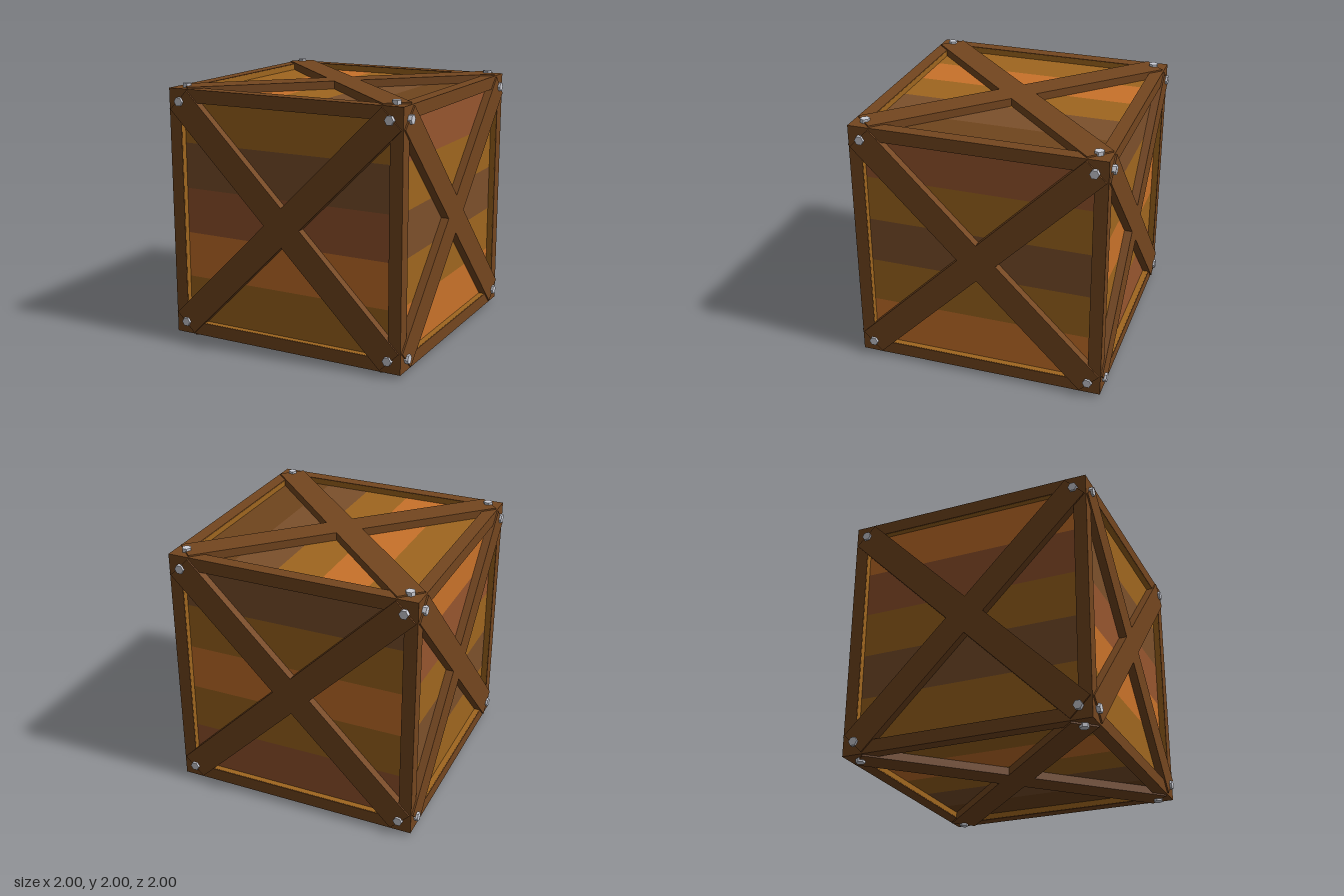
import * as THREE from 'three';

const mat = (color) => new THREE.MeshStandardMaterial({ color, flatShading: true });
const frameMat = mat(0x74461f), boltMat = mat(0xcdcfd8);
const plankMats = {
  ochre: mat(0x9f661f), orange: mat(0xc8722a), red: mat(0x96552e), brown: mat(0x7c502b), dark: mat(0x70451d),
};

const OUTER = 0.97;   // outside of the frame
const INNER = 0.87;   // edge of the openings
const PANEL = 0.92;   // surface of the planks
const BRACE = 0.982;  // surface of the cross braces

function add(parent, name, geometry, material, x = 0, y = 0, z = 0) {
  const mesh = new THREE.Mesh(geometry, material);
  mesh.name = name;
  mesh.position.set(x, y, z);
  parent.add(mesh);
  return mesh;
}

// X-shaped brace: one arm repeated four times around the centre
function braceGeometry() {
  const h = 0.106, len = 1.25, pts = [];
  for (let k = 0; k < 4; k++) {
    for (const [u, v] of [[h, -h], [len, -h], [len, h]]) {
      pts.push(new THREE.Vector2(u, v).rotateAround(new THREE.Vector2(), Math.PI / 4 + k * Math.PI / 2));
    }
  }
  return new THREE.ExtrudeGeometry(new THREE.Shape(pts), { depth: BRACE - PANEL + 0.01, bevelEnabled: false });
}

const braceGeo = braceGeometry();
const boltGeo = new THREE.CylinderGeometry(0.036, 0.036, 0.04, 6).rotateY(Math.PI / 6).rotateX(Math.PI / 2);
const liningGeo = new THREE.BoxGeometry(2 * INNER, 0.004, OUTER - PANEL - 0.005);

// One side of the crate, facing +z; colours run from top to bottom
function createSide(name, colours, roll, offset) {
  const side = new THREE.Group();
  side.name = name;

  const planks = new THREE.Group();
  planks.name = 'planks';
  planks.rotation.z = roll;
  const pitch = 0.354, half = INNER + 0.01;
  colours.forEach((c, i) => {
    const top = i === 0 ? half : (1.5 - (i - 1)) * pitch + offset;
    const bottom = i === 4 ? -half : (1.5 - i) * pitch + offset;
    add(planks, 'plank', new THREE.BoxGeometry(2 * half, top - bottom, 0.04), plankMats[c],
      0, (top + bottom) / 2, PANEL - 0.02);
  });
  side.add(planks);

  // Thin lining around the inside of the opening
  for (let k = 0; k < 4; k++) {
    const a = k * Math.PI / 2;
    const strip = add(side, 'lining', liningGeo, plankMats.ochre,
      -Math.sin(a) * INNER, Math.cos(a) * INNER, (OUTER + PANEL - 0.005) / 2);
    strip.rotation.z = a;
  }

  add(side, 'crossBrace', braceGeo, frameMat, 0, 0, PANEL - 0.01);
  for (const x of [-1, 1]) for (const y of [-1, 1]) {
    add(side, 'bolt', boltGeo, boltMat, x * 0.873, y * 0.873, 0.98);
  }
  return side;
}

export function createModel() {
  const crate = new THREE.Group();
  crate.name = 'crate';
  const body = new THREE.Group();
  body.name = 'body';
  body.position.y = 1;
  crate.add(body);

  // Twelve frame beams, four along each axis
  const w = OUTER - INNER, m = (OUTER + INNER) / 2;
  for (const a of [-m, m]) for (const b of [-m, m]) {
    add(body, 'frameBeam', new THREE.BoxGeometry(w, 2 * OUTER, w), frameMat, a, 0, b);
    add(body, 'frameBeam', new THREE.BoxGeometry(2 * INNER, w, w), frameMat, 0, a, b);
    add(body, 'frameBeam', new THREE.BoxGeometry(w, w, 2 * INNER), frameMat, a, b, 0);
  }

  // Six sides: name, tilt, turn, plank colours
  const Q = Math.PI / 2;
  const lid = ['ochre', 'orange', 'ochre', 'brown', 'dark'];
  const sides = [
    ['frontSide', 0, 0, ['ochre', 'brown', 'red', 'orange', 'ochre']],
    ['leftSide', 0, Q, ['red', 'ochre', 'brown', 'ochre', 'orange']],
    ['backSide', 0, 2 * Q, ['brown', 'ochre', 'orange', 'ochre', 'red']],
    ['rightSide', 0, -Q, ['orange', 'red', 'ochre', 'brown', 'ochre']],
    ['topSide', -Q, 0, lid],
    ['bottomSide', Q, 0, lid],
  ];
  for (const [name, tilt, turn, colours] of sides) {
    const side = createSide(name, colours, tilt ? Q : 0, tilt ? 0 : 0.02);
    side.rotation.set(tilt, turn, 0);
    body.add(side);
  }
  return crate;
}
